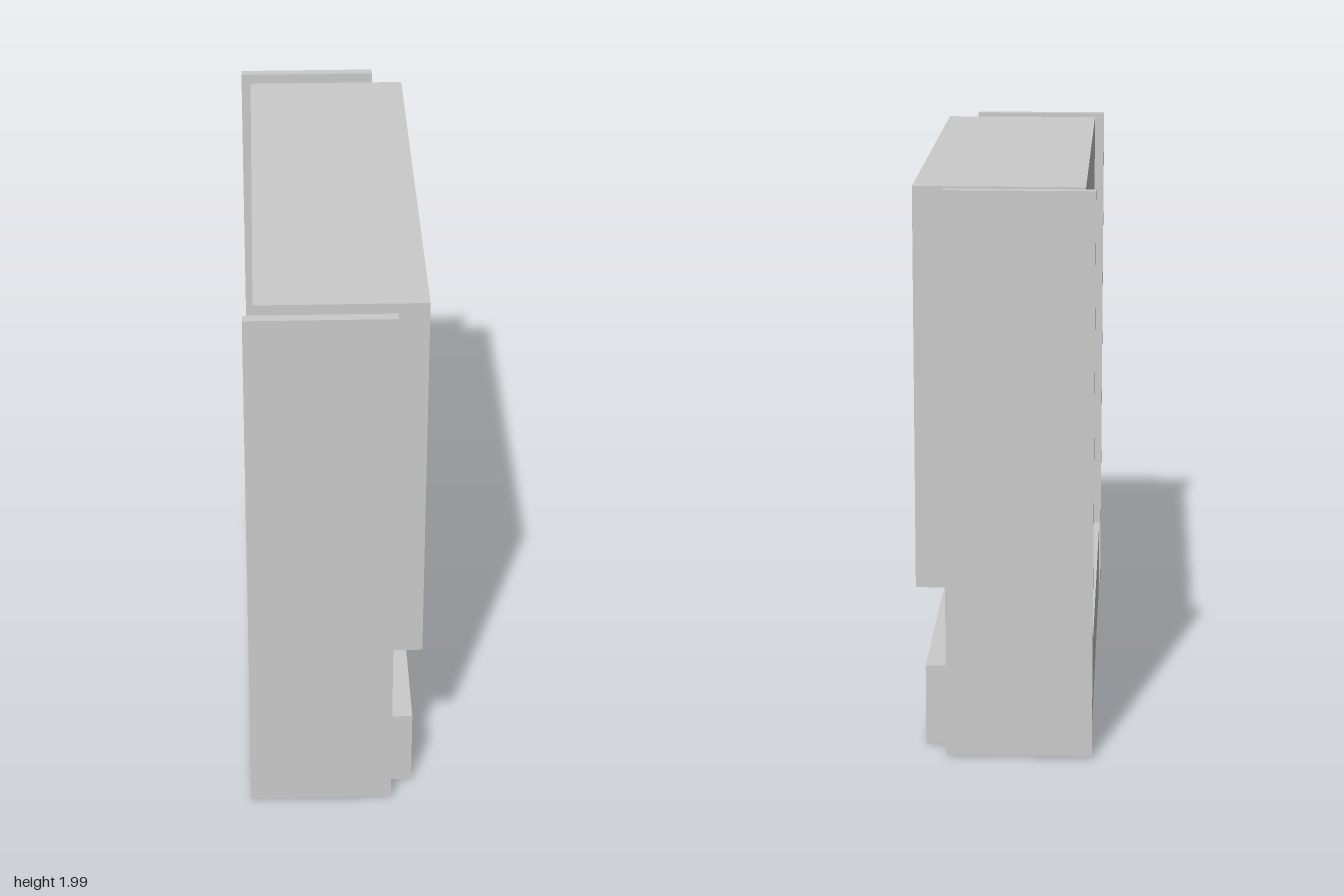
import * as THREE from 'three';

const material = new THREE.MeshStandardMaterial({ color: 0xcccccc, flatShading: true });

// Box given by its [min, max] range on each axis
function block(name, [x0, x1], [y0, y1], [z0, z1]) {
  const mesh = new THREE.Mesh(new THREE.BoxGeometry(x1 - x0, y1 - y0, z1 - z0), material);
  mesh.position.set((x0 + x1) / 2, (y0 + y1) / 2, (z0 + z1) / 2);
  mesh.name = name;
  return mesh;
}

export function createModel() {
  const model = new THREE.Group();
  model.name = 'cabinet';

  // Thin end panels, standing clear of the body
  model.add(block('frontPanel', [-0.31, 0.197], [0.008, 1.99], [0.963, 1]));
  model.add(block('backPanel', [-0.31, 0.197], [0.008, 1.99], [-1, -0.963]));

  // Tall upper body and low base
  model.add(block('upperBody', [-0.275, 0.307], [0.58, 1.985], [-0.888, 0.886]));
  model.add(block('base', [-0.305, 0.276], [0, 0.29], [-0.879, 0.895]));

  // Sloping shelf in the gap, low edge towards +x
  const shelf = block('slopedShelf', [-0.212, 0.196], [0.41, 0.445], [-0.879, 0.895]);
  shelf.rotation.z = -THREE.MathUtils.degToRad(31.8);
  model.add(shelf);

  return model;
}
